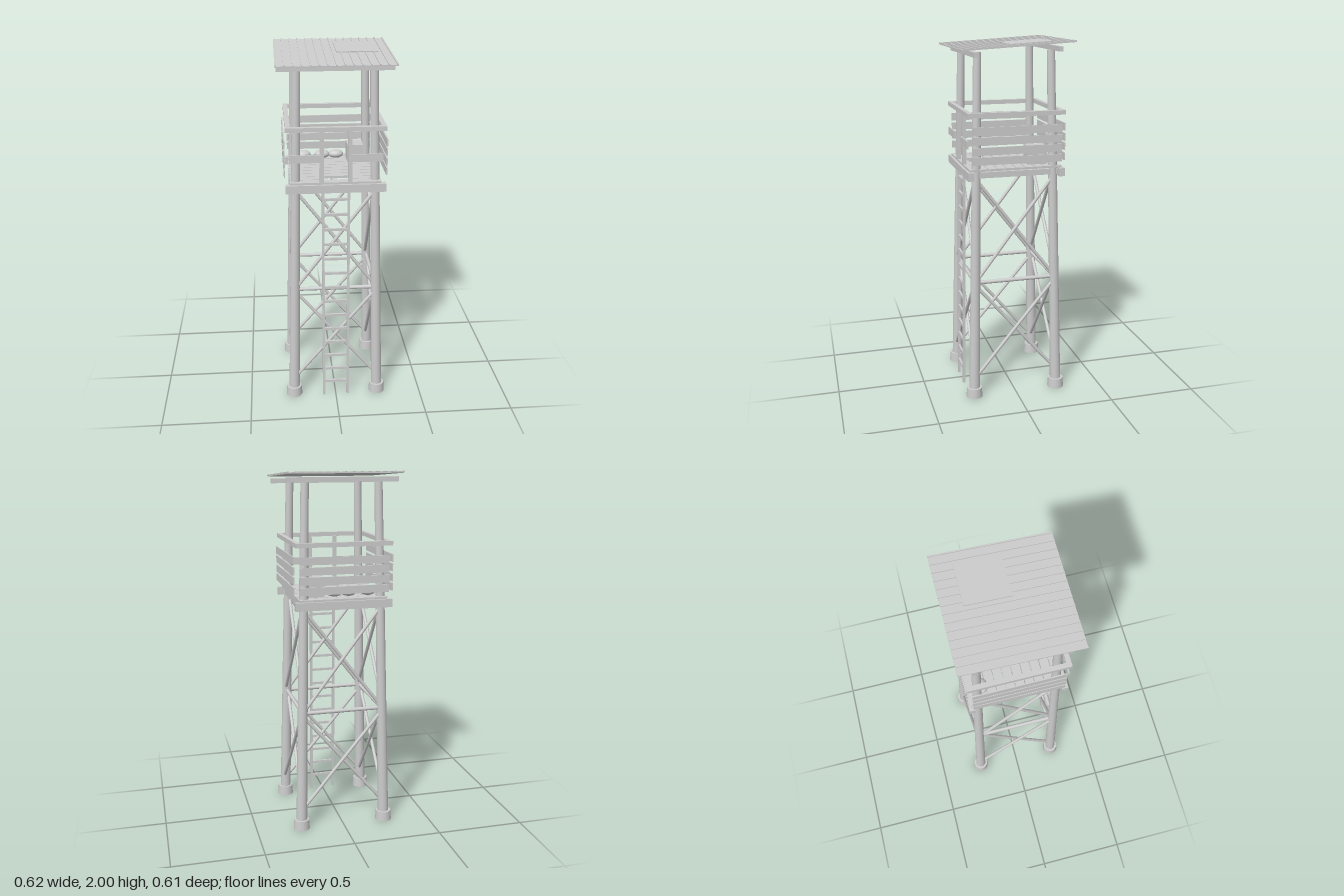
import * as THREE from 'three';

export function createModel() {
  const tower = new THREE.Group();
  const wood = new THREE.MeshStandardMaterial({ color: 0xcccccc });
  wood.name = 'pale grey';
  const UP = new THREE.Vector3(0, 1, 0);

  function add(name, geometry, x = 0, y = 0, z = 0, parent = tower) {
    const mesh = new THREE.Mesh(geometry, wood);
    mesh.name = name;
    mesh.position.set(x, y, z);
    parent.add(mesh);
    return mesh;
  }
  const box = (name, w, h, d, x, y, z, parent) =>
    add(name, new THREE.BoxGeometry(w, h, d), x, y, z, parent);

  // A member running between two points, round or square
  function strut(name, a, b, geometryOf) {
    const from = new THREE.Vector3(...a), to = new THREE.Vector3(...b);
    const dir = to.clone().sub(from);
    const mesh = add(name, geometryOf(dir.length()));
    mesh.position.copy(from).add(to).multiplyScalar(0.5);
    mesh.quaternion.setFromUnitVectors(UP, dir.normalize());
    return mesh;
  }
  const square = (w, d = w) => (len) => new THREE.BoxGeometry(w, len, d);
  const round = (top, bottom) => (len) => new THREE.CylinderGeometry(top, bottom, len, 14);

  // Distance of the leg axis from the centre at a given height
  const legAt = (y) => 0.245 - 0.0225 * y;

  // Legs and footings
  for (const sx of [-1, 1]) for (const sz of [-1, 1]) {
    const top = sz > 0 ? 1.945 : 1.95;
    const b = legAt(0.02), t = legAt(top);
    strut('leg', [sx * b, 0.02, sz * b], [sx * t, top, sz * t], round(0.022, 0.031));
    add('footing', new THREE.CylinderGeometry(0.043, 0.047, 0.055, 16), sx * 0.245, 0.0275, sz * 0.245);
  }

  // Cross bracing on all four sides
  for (let side = 0; side < 4; side++) {
    const turn = (x, y, z) => {
      const p = new THREE.Vector3(x, y, z).applyAxisAngle(UP, side * Math.PI / 2);
      return [p.x, p.y, p.z];
    };
    for (const [y0, y1] of [[0.11, 0.67], [0.69, 1.27]]) for (const s of [-1, 1]) {
      const a = legAt(y0), b = legAt(y1), off = s * 0.008;
      strut('diagonalBrace', turn(-s * a, y0, a + off), turn(s * b, y1, b + off), round(0.0095, 0.0095));
    }
    const m = legAt(0.685);
    strut('horizontalBrace', turn(-m, 0.685, m), turn(m, 0.685, m), round(0.011, 0.011));
  }

  // Ladder
  const ladderZ = (y) => 0.27 - 0.015 * y;
  for (const s of [-1, 1])
    strut('ladderRail', [s * 0.07, 0, ladderZ(0)], [s * 0.07, 1.3, ladderZ(1.3)], square(0.014));
  for (let i = 0; i < 14; i++) {
    const y = 0.09 + i * 0.0877;
    box('ladderRung', 0.13, 0.014, 0.012, 0, y, ladderZ(y));
  }

  // Platform frame
  for (const s of [-1, 1]) {
    box('platformBeam', 0.54, 0.045, 0.034, 0, 1.296, s * 0.254);
    box('sideJoist', 0.032, 0.032, 0.48, s * 0.22, 1.296, 0);
  }
  box('middleJoist', 0.028, 0.032, 0.48, 0, 1.296, 0);

  // Floor planks, split near the front to leave the hatch
  for (let i = 0; i < 10; i++) {
    const z = -0.234 + i * 0.052;
    if (i === 8) {
      for (const s of [-1, 1]) box('floorPlank', 0.165, 0.012, 0.048, s * 0.1625, 1.324, z);
    } else box('floorPlank', 0.49, 0.012, 0.048, 0, 1.324, z);
  }

  // Handrail
  for (const s of [-1, 1]) {
    box('handrail', 0.535, 0.024, 0.026, 0, 1.623, s * 0.257);
    box('handrail', 0.026, 0.024, 0.488, s * 0.254, 1.623, 0);
  }

  // Wall planks on the sides and back
  for (let i = 0; i < 4; i++) {
    const y = 1.38 + i * 0.0535, h = 0.042;
    for (const s of [-1, 1]) {
      const plank = box('sidePlank', 0.007, h, 0.495, s * 0.274, y, 0);
      plank.rotation.x = s * (i % 2 ? 0.004 : -0.004);
    }
    const back = box('backPlank', 0.495, h, 0.007, 0, y, -0.273);
    back.rotation.z = i % 2 ? 0.006 : -0.004;
  }

  // Entrance posts and short front planks
  for (const s of [-1, 1]) {
    box('entrancePost', 0.022, 0.29, 0.02, s * 0.076, 1.47, 0.25);
    box('frontPlank', 0.17, 0.042, 0.008, s * 0.165, 1.466, 0.268);
  }

  // Sacks and crate on the floor
  for (const x of [-0.155, -0.045, 0.035]) {
    const sack = add('sack', new THREE.SphereGeometry(1, 18, 12), x, 1.354, -0.18);
    sack.scale.set(0.044, 0.024, 0.035);
  }
  box('crate', 0.09, 0.1, 0.11, 0.14, 1.38, -0.14);

  // Roof beams
  box('frontRoofBeam', 0.61, 0.026, 0.024, 0, 1.935, 0.228);
  box('rearRoofBeam', 0.61, 0.026, 0.022, 0, 1.959, -0.224);

  // Sloping ribbed roof with a flat patch
  const roof = new THREE.Group();
  roof.name = 'roof';
  roof.position.y = 1.977;
  roof.rotation.x = 0.06;
  tower.add(roof);
  box('roofSheet', 0.62, 0.005, 0.612, 0, 0, 0, roof);
  for (let i = 0; i < 15; i++)
    box('roofRib', 0.008, 0.006, 0.612, -0.308 + i * 0.044, 0.0045, 0, roof);
  box('roofPatch', 0.225, 0.006, 0.235, 0.132, 0.0065, -0.083, roof);

  return tower;
}
